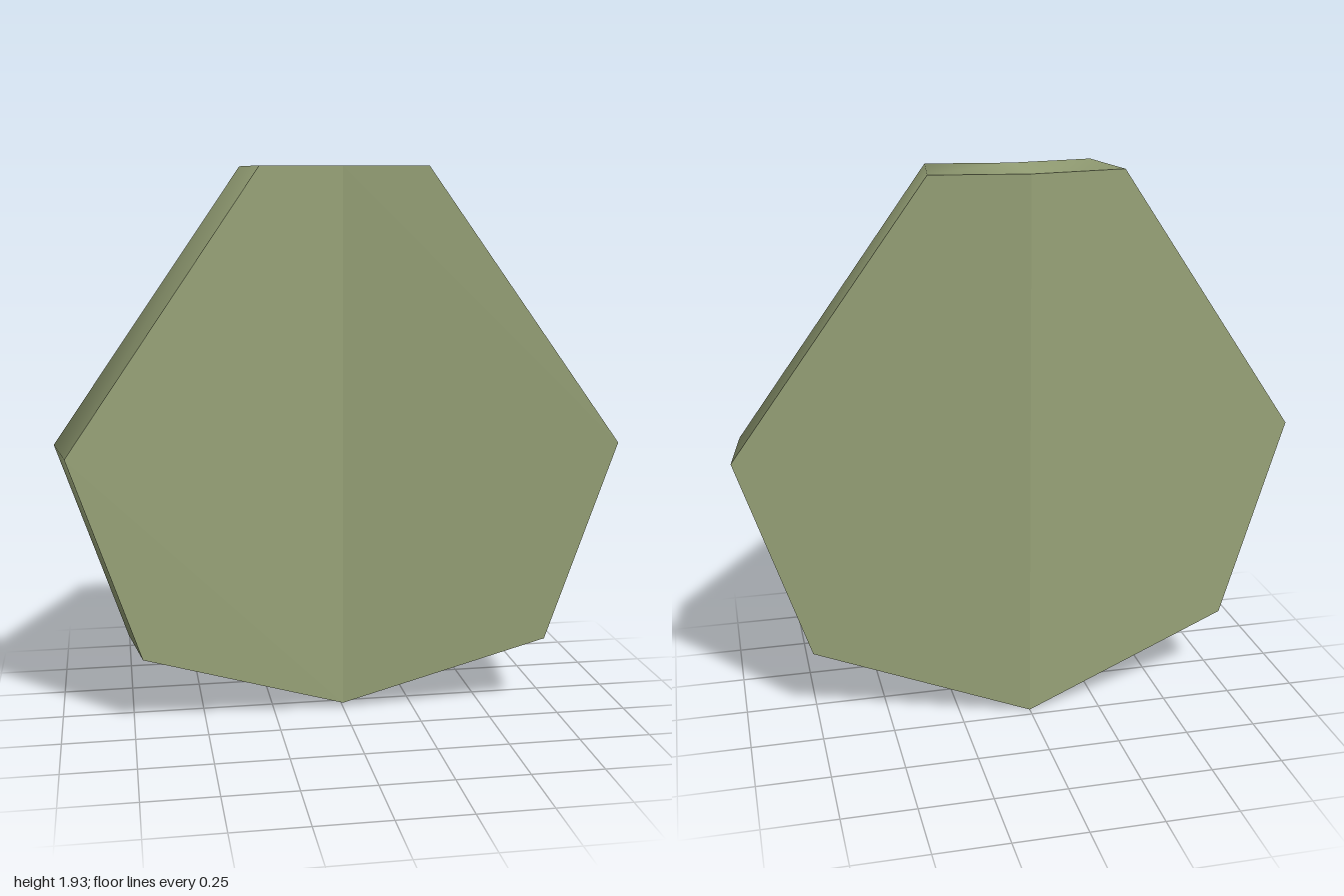
import * as THREE from 'three';

// Right half of each outline, from top centre to bottom tip: [x, y]
const FRONT = [[0, 1.93], [0.29, 1.93], [0.957, 0.975], [0.717, 0.257], [0, 0.016]];
const BACK = [[0, 1.93], [0.33, 1.93], [1, 0.975], [0.76, 0.257], [0, 0]];

// Full clockwise outline, bent along x = 0 into a shallow V
function foldedOutline(half, z0, slope) {
  const mirrored = half.slice(1, -1).reverse().map(([x, y]) => [-x, y]);
  return [...half, ...mirrored].map(([x, y]) => [x, y, z0 + slope * Math.abs(x)]);
}

function geometryFrom(points, index) {
  const g = new THREE.BufferGeometry();
  g.setAttribute('position', new THREE.Float32BufferAttribute(points.flat(), 3));
  if (index) g.setIndex(index);
  g.computeVertexNormals();
  return g;
}

// Two flat halves meeting at the centre fold
function faceGeometry(loop, facesFront) {
  const tris = [];
  const fan = (ids) => {
    for (let i = 1; i < ids.length - 1; i++) {
      const [a, b, c] = [ids[0], ids[i], ids[i + 1]].map((k) => loop[k]);
      tris.push(a, ...(facesFront ? [c, b] : [b, c]));
    }
  };
  fan([0, 1, 2, 3, 4]);
  fan([4, 5, 6, 7, 0]);
  return geometryFrom(tris);
}

// Smooth-shaded edge joining the two outlines
function rimGeometry(front, back) {
  const n = front.length, index = [];
  for (let i = 0; i < n; i++) {
    const j = (i + 1) % n;
    index.push(i, j, n + j, i, n + j, n + i);
  }
  return geometryFrom([...front, ...back], index);
}

export function createModel() {
  const group = new THREE.Group();
  group.name = 'foldedPlate';
  const olive = new THREE.MeshStandardMaterial({ color: 0x97a277 });
  olive.name = 'olive green';

  const front = foldedOutline(FRONT, 0.07, 0.152);
  const back = foldedOutline(BACK, -0.217, 0.15);
  const add = (name, geometry) => {
    const mesh = new THREE.Mesh(geometry, olive);
    mesh.name = name;
    group.add(mesh);
  };
  add('frontFace', faceGeometry(front, true));
  add('backFace', faceGeometry(back, false));
  add('rim', rimGeometry(front, back));
  return group;
}
